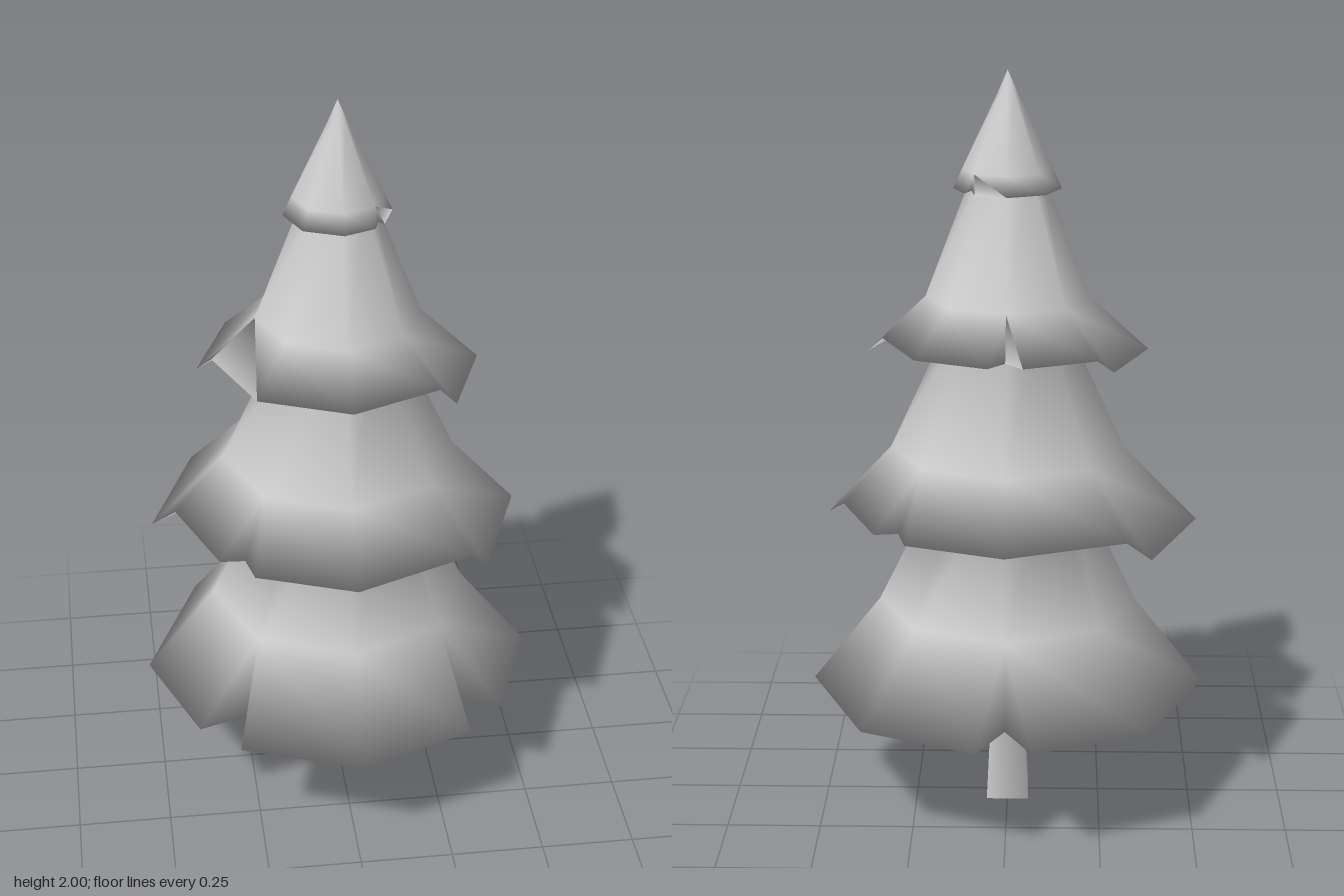
import * as THREE from 'three';

const CZ = -0.012; // trunk axis
const material = () => new THREE.MeshStandardMaterial({ color: 0xcccccc, side: THREE.DoubleSide });

// Every tier is an octagon, corner 0 at the front and counting toward +x.
// rim, bend, neck: [radius, height] from the bottom up.
// folds: corners pleated inward to the radius "valley".
// droops: { panel: [radius, height] } for panels that hang past their neighbours.
const tiers = [
  { rim: [0.53, 0.335], bend: [0.345, 0.57], neck: [0.155, 0.96], folds: [1, 4, 7], valley: 0.39, droops: {} },
  { rim: [0.44, 0.835], bend: [0.31, 1.0], neck: [0.125, 1.4], folds: [3, 7], valley: 0.39,
    droops: { 1: [0.48, 0.815], 5: [0.505, 0.8] } },
  { rim: [0.33, 1.295], bend: [0.215, 1.41], neck: [0.085, 1.75], folds: [4], valley: 0.3,
    droops: { 1: [0.37, 1.26], 5: [0.37, 1.27] } },
  { rim: [0.14, 1.695], bend: [0.118, 1.745], neck: [0.026, 1.94], folds: [1, 3], valley: 0.128, droops: {} },
];

// Rim points as { corner, turn, r, y }; a corner with several points is a fold or a step.
function rimPoints({ rim: [r, y], folds, valley, droops }) {
  const points = [];
  for (let corner = 0; corner < 8; corner++) {
    const before = droops[(corner + 7) % 8], after = droops[corner];
    if (folds.includes(corner)) {
      points.push({ corner, turn: -0.14, r: r * 0.97, y });
      points.push({ corner, turn: 0, r: valley, y: y + 0.01 });
      points.push({ corner, turn: 0.14, r: r * 0.97, y });
    } else if (before) {
      points.push({ corner, turn: 0, r: before[0], y: before[1] }, { corner, turn: 0, r, y });
    } else if (after) {
      points.push({ corner, turn: 0, r, y }, { corner, turn: 0.05, r: after[0], y: after[1] });
    } else {
      points.push({ corner, turn: 0, r, y });
    }
  }
  return points;
}

// One continuous skin: underside, rim, bend, neck, next underside and so on.
function foliageGeometry() {
  const pos = [], index = [];
  const count = () => pos.length / 3;
  const addPoint = (a, r, y) => pos.push(r * Math.sin(a), y, CZ + r * Math.cos(a));
  const ring = ([r, y]) => {
    const start = count();
    for (let i = 0; i < 8; i++) addPoint(i * Math.PI / 4, r, y);
    return start;
  };

  let inner = ring([0.05, 0.5]); // where the lowest underside meets the trunk
  for (const tier of tiers) {
    const edge = count();
    const rim = rimPoints(tier);
    for (const p of rim) addPoint(p.corner * Math.PI / 4 + p.turn, p.r, p.y);
    const mid = ring(tier.bend), top = ring(tier.neck);

    rim.forEach(({ corner: c }, k) => {
      const n = (k + 1) % rim.length, d = rim[n].corner;
      index.push(edge + k, edge + n, mid + c); // outside
      index.push(inner + c, edge + n, edge + k); // underside
      if (c !== d) {
        index.push(edge + n, mid + d, mid + c);
        index.push(inner + c, inner + d, edge + n);
      }
    });
    for (let i = 0; i < 8; i++) {
      const n = (i + 1) % 8;
      index.push(mid + i, mid + n, top + n, mid + i, top + n, top + i);
    }
    inner = top;
  }

  // tip
  const tip = count();
  addPoint(0, 0, 2);
  for (let i = 0; i < 8; i++) index.push(inner + i, inner + (i + 1) % 8, tip);

  const g = new THREE.BufferGeometry();
  g.setAttribute('position', new THREE.Float32BufferAttribute(pos, 3));
  g.setIndex(index);
  g.computeVertexNormals();
  return g;
}

export function createModel() {
  const tree = new THREE.Group();
  tree.name = 'firTree';

  // square tapered trunk
  const trunkShape = new THREE.CylinderGeometry(0.045, 0.08, 0.52, 4);
  trunkShape.rotateY(Math.PI / 4);
  const trunk = new THREE.Mesh(trunkShape, material());
  trunk.position.set(0, 0.26, CZ);
  trunk.name = 'trunk';
  tree.add(trunk);

  const foliage = new THREE.Mesh(foliageGeometry(), material());
  foliage.name = 'foliage';
  tree.add(foliage);
  return tree;
}
